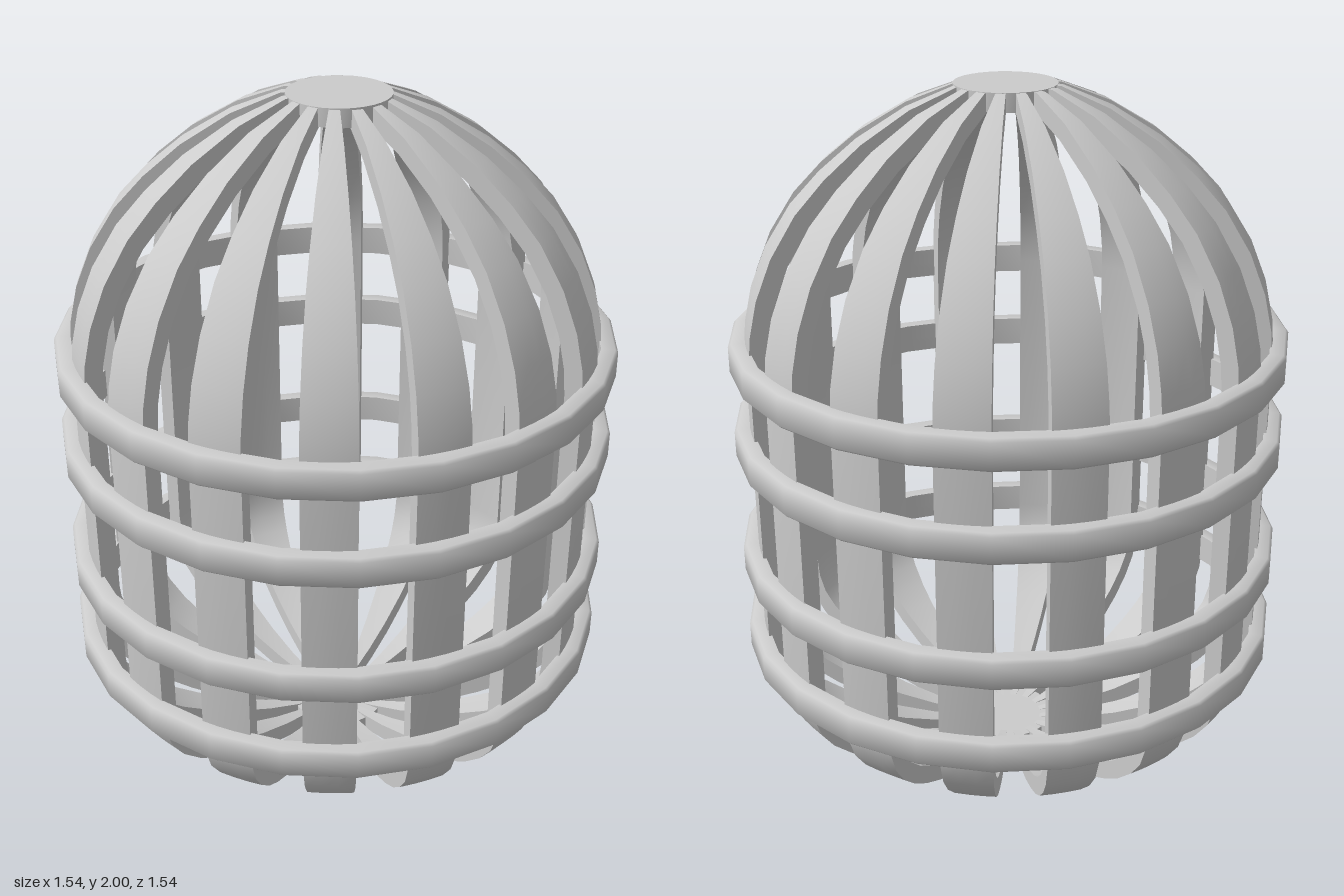
import * as THREE from 'three';
import { toCreasedNormals } from 'three/addons/utils/BufferGeometryUtils.js';

const RIBS = 16;
const RIB_ANGLE = Math.PI / RIBS; // each rib fills half of its pitch
const THICKNESS = 0.05;

// Outer outline of a rib as radius, height, from bottom to top
const OUTLINE = [
  [0.1, 0.0], [0.14, 0.005], [0.24, 0.025], [0.35, 0.058], [0.45, 0.1], [0.53, 0.142],
  [0.595, 0.185], [0.655, 0.24], [0.695, 0.295], [0.718, 0.36], [0.725, 0.43],
  [0.725, 0.9], [0.725, 1.3], [0.718, 1.38], [0.695, 1.48], [0.65, 1.59], [0.58, 1.7],
  [0.5, 1.785], [0.4, 1.868], [0.27, 1.947], [0.14, 1.998], [0.1, 2.0],
].map(([r, y]) => new THREE.Vector2(r, y));

// Bend an extruded radial section around the vertical axis
function ribGeometry() {
  const inner = OUTLINE.map((p, i) => {
    const a = OUTLINE[Math.max(i - 1, 0)];
    const b = OUTLINE[Math.min(i + 1, OUTLINE.length - 1)];
    const t = b.clone().sub(a).normalize();
    return new THREE.Vector2(p.x - t.y * THICKNESS, p.y + t.x * THICKNESS);
  });
  const section = new THREE.Shape([...OUTLINE, ...inner.reverse()]);
  const geometry = new THREE.ExtrudeGeometry(section, { depth: 1, steps: 3, bevelEnabled: false });
  const pos = geometry.attributes.position;
  for (let i = 0; i < pos.count; i++) {
    const r = pos.getX(i);
    const phi = -RIB_ANGLE * pos.getZ(i);
    pos.setXYZ(i, r * Math.sin(phi), pos.getY(i), r * Math.cos(phi));
  }
  return toCreasedNormals(geometry, 0.7);
}

// Flat hoop with a slightly softened rectangular section
function hoopGeometry() {
  const inner = 0.722, outer = 0.768, h = 0.043, c = 0.008;
  const profile = [
    [inner, 0], [inner, -h], [outer - c, -h], [outer, -h + c],
    [outer, h - c], [outer - c, h], [inner, h], [inner, 0],
  ].map(([r, y]) => new THREE.Vector2(r, y));
  return toCreasedNormals(new THREE.LatheGeometry(profile, 24), 0.9);
}

export function createModel() {
  const model = new THREE.Group();
  model.name = 'ribbedCage';
  const material = new THREE.MeshStandardMaterial({ color: 0xcccccc });

  const add = (name, geometry, parent = model) => {
    const mesh = new THREE.Mesh(geometry, material);
    mesh.name = name;
    parent.add(mesh);
    return mesh;
  };

  // Upright ribs curving in at both ends
  const ribs = new THREE.Group();
  ribs.name = 'ribs';
  model.add(ribs);
  const rib = ribGeometry();
  for (let i = 0; i < RIBS; i++) {
    add('rib', rib, ribs).rotation.y = (i / RIBS) * Math.PI * 2;
  }

  // Four hoops around the straight section
  const hoops = new THREE.Group();
  hoops.name = 'hoops';
  model.add(hoops);
  const hoop = hoopGeometry();
  for (const y of [0.433, 0.685, 1.043, 1.292]) add('hoop', hoop, hoops).position.y = y;

  // Discs joining the rib ends
  const disc = toCreasedNormals(new THREE.CylinderGeometry(0.138, 0.138, 0.05, 32), 0.7);
  add('topDisc', disc).position.set(0, 1.975, 0.012);
  add('bottomDisc', disc).position.set(0, 0.025, 0.012);

  return model;
}
